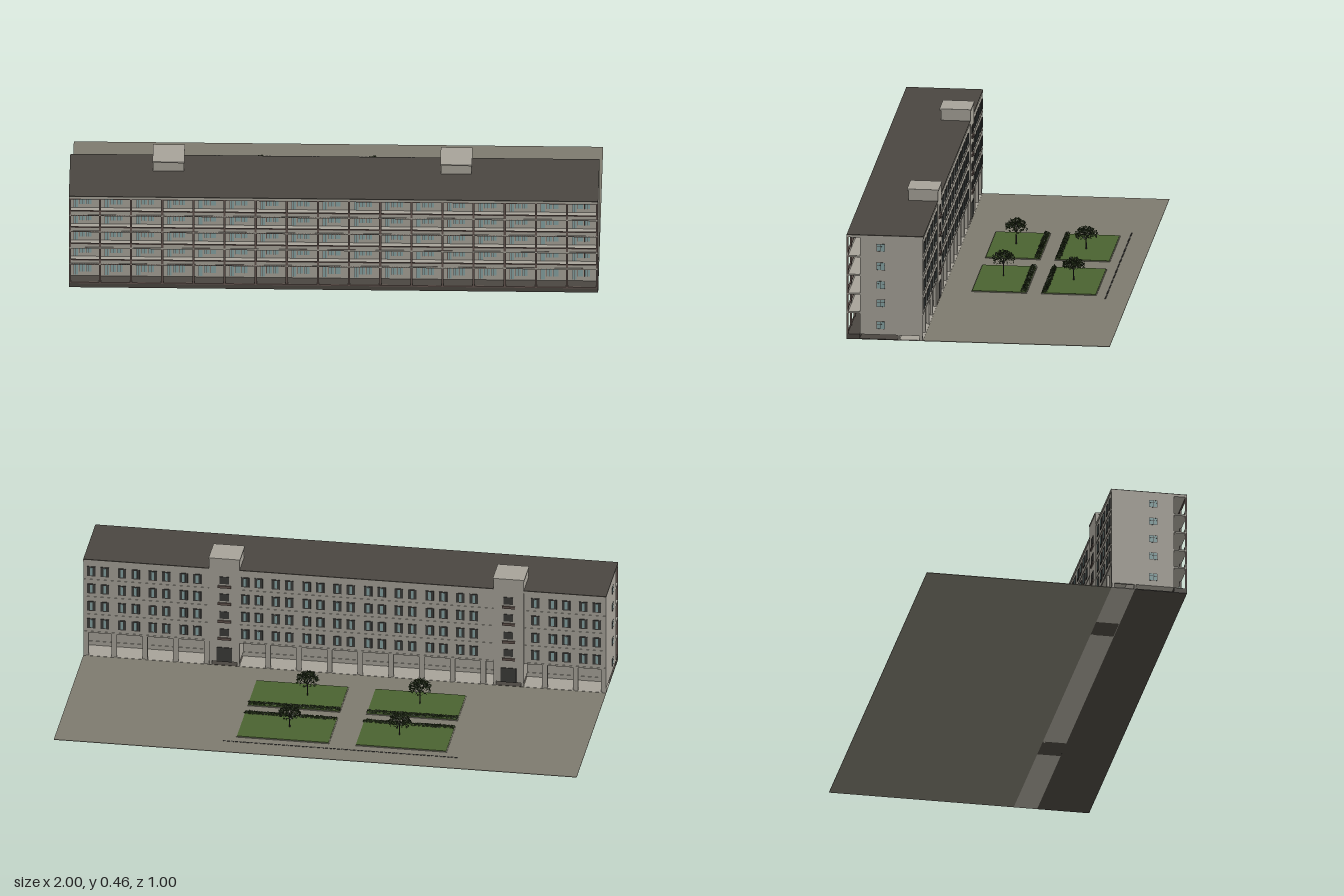
import * as THREE from 'three';
import { mergeGeometries } from 'three/addons/utils/BufferGeometryUtils.js';

const mat = (name, color, side = THREE.FrontSide) => {
  const m = new THREE.MeshStandardMaterial({ color, side });
  m.name = name;
  return m;
};

// Box given by its limits on each axis
function box(x0, x1, y0, y1, z0, z1) {
  return new THREE.BoxGeometry(x1 - x0, y1 - y0, z1 - z0)
    .translate((x0 + x1) / 2, (y0 + y1) / 2, (z0 + z1) / 2);
}

function seeded(seed) {
  return () => (seed = (seed * 16807) % 2147483647) / 2147483647;
}

// Cylinder running between two points
function rod(a, b, r0, r1) {
  const d = b.clone().sub(a);
  const g = new THREE.CylinderGeometry(r1, r0, d.length(), 6);
  g.applyQuaternion(new THREE.Quaternion().setFromUnitVectors(new THREE.Vector3(0, 1, 0), d.clone().normalize()));
  return g.translate((a.x + b.x) / 2, (a.y + b.y) / 2, (a.z + b.z) / 2);
}

// Small flat leaves spread by a placing function
function leaves(count, size, rand, place) {
  const list = [];
  for (let i = 0; i < count; i++) {
    const g = new THREE.CircleGeometry(size * (0.7 + 0.6 * rand()), 4);
    g.rotateX(rand() * 6.28).rotateY(rand() * 6.28);
    const p = place();
    list.push(g.translate(p.x, p.y, p.z));
  }
  return mergeGeometries(list);
}

export function createModel() {
  const root = new THREE.Group();
  const concrete = mat('concrete', 0xa6a298);
  const roofDark = mat('dark roofing', 0x4a4640);
  const paving = mat('ground', 0x7d7a6e);
  const grass = mat('grass', 0x4a6230);
  const foliage = mat('foliage', 0x2c3a1e, THREE.DoubleSide);
  const bark = mat('bark', 0x2e2a2c);
  const trim = mat('brown trim', 0x62544e);
  const glass = mat('teal glass', 0x86a3a3);
  const frame = mat('dark frame', 0x3c3b39);

  const add = (name, geos, material, parent = root) => {
    const mesh = new THREE.Mesh(Array.isArray(geos) ? mergeGeometries(geos) : geos, material);
    mesh.name = name;
    parent.add(mesh);
    return mesh;
  };

  const BAYS = 17, W = 2 / BAYS;
  const floors = [0.02, 0.105, 0.178, 0.252, 0.325, 0.4];
  const towers = [-0.627, 0.46];
  const TW = 0.058;
  const nearTower = (x, m) => towers.some(t => Math.abs(x - t) < TW + m);

  // Ground and foundations
  add('ground', box(-1, 1, 0, 0.002, -0.5, 0.21), paving);
  add('foundation', [
    box(-1, 1, 0, 0.003, 0.3, 0.45), box(-1, 1, 0, 0.02, 0.45, 0.5),
    ...towers.map(t => box(t - TW, t + TW, 0, 0.003, 0.21, 0.3)),
  ], roofDark);
  const edges = [-1, towers[0] - TW, towers[0] + TW, towers[1] - TW, towers[1] + TW, 1];
  add('arcadeFloor', [0, 2, 4].map(i => box(edges[i], edges[i + 1], 0, 0.003, 0.21, 0.3)), concrete);

  // Main block, with the recessed arcade along the back
  add('mainBlock', [
    box(-1, 1, 0.1, 0.4, 0.21, 0.45),
    box(-1, 1, 0.02, 0.1, 0.3, 0.45),
    box(-1, 1, 0, 0.02, 0.298, 0.304),
    ...[-1, 1].map(s => box(s - (s > 0 ? 0.008 : 0), s + (s > 0 ? 0 : 0.008), 0.02, 0.1, 0.21, 0.3)),
  ], concrete);
  const piers = [];
  for (let i = 0; i <= BAYS; i++) {
    const x = Math.min(0.99, Math.max(-0.99, -1 + i * W));
    if (!nearTower(x, 0)) piers.push(box(x - 0.01, x + 0.01, 0, 0.1, 0.212, 0.222));
  }
  add('arcadePiers', piers, concrete);

  // Roof
  add('roofSlab', box(-1, 1, 0.4, 0.408, 0.208, 0.5), concrete);
  add('roofCover', box(-1, 1, 0.408, 0.411, 0.208, 0.5), roofDark);

  // Stair towers
  const stairs = new THREE.Group();
  stairs.name = 'stairTowers';
  root.add(stairs);
  for (const t of towers) {
    add('towerShaft', [
      box(t - TW, t + TW, 0.02, 0.45, 0.207, 0.32),
      box(t - TW - 0.002, t + TW + 0.002, 0.45, 0.456, 0.205, 0.325),
      box(t - TW, t - TW + 0.01, 0, 0.02, 0.21, 0.22), box(t + TW - 0.01, t + TW, 0, 0.02, 0.21, 0.22),
    ], concrete, stairs);
    add('towerEntrance', box(t - 0.03, t + 0.03, 0.02, 0.08, 0.204, 0.208), frame, stairs);
    const panes = [], ledges = [];
    for (const y of [0.117, 0.19, 0.265, 0.337]) {
      ledges.push(box(t - 0.025, t + 0.025, y - 0.005, y + 0.005, 0.202, 0.208));
      panes.push(box(t - 0.018, t + 0.018, y + 0.012, y + 0.042, 0.205, 0.208));
    }
    add('towerLedges', ledges, trim, stairs);
    add('towerWindows', panes, frame, stairs);
  }

  // Front galleries: slabs, parapets, rails and posts
  const slabs = [], parapets = [], rails = [], posts = [];
  floors.forEach((y, k) => {
    if (k > 0 && k < 5) slabs.push(box(-1, 1, y - 0.003, y + 0.003, 0.448, 0.5));
    if (k < 5) {
      rails.push(box(-1, 1, y - 0.002, y + 0.003, 0.496, 0.5));
      if (k > 0) {
        parapets.push(box(-1, 1, y, y + 0.017, 0.494, 0.498));
        rails.push(box(-1, 1, y + 0.016, y + 0.019, 0.493, 0.499));
      }
    }
  });
  rails.push(box(-1, 1, 0.397, 0.4, 0.494, 0.5));
  for (let i = 0; i <= BAYS; i++) {
    const x = Math.min(0.996, Math.max(-0.996, -1 + i * W));
    posts.push(box(x - 0.004, x + 0.004, 0.02, 0.4, 0.493, 0.4995));
  }
  add('gallerySlabs', slabs, concrete);
  add('galleryParapets', parapets, concrete);
  add('galleryRails', rails, trim);
  add('galleryPosts', posts, trim);

  // Windows and doors, one set in every bay and storey
  const frontGlass = [], frontFrames = [], backGlass = [], backFrames = [];
  for (let k = 0; k < 5; k++) {
    const y = floors[k];
    for (let i = 0; i < BAYS; i++) {
      const x = -1 + i * W;
      const sets = [[0.018, 0.034, 0.006], [0.04, 0.06, 0.02], [0.065, 0.085, 0.02]];
      for (const [a, b, low] of sets) {
        frontGlass.push(box(x + a, x + b, y + low, y + 0.052, 0.449, 0.452));
        frontFrames.push(box(x + a - 0.001, x + a + 0.001, y + low, y + 0.052, 0.451, 0.453));
        frontFrames.push(box(x + (a + b) / 2 - 0.0008, x + (a + b) / 2 + 0.0008, y + low, y + 0.052, 0.451, 0.453));
      }
      if (k === 0) continue;
      for (const c of [0.3, 0.74]) {
        const cx = x + c * W;
        if (nearTower(cx, 0.016)) continue;
        backFrames.push(box(cx - 0.016, cx + 0.016, y + 0.016, y + 0.056, 0.207, 0.211));
        backGlass.push(box(cx - 0.005, cx + 0.005, y + 0.02, y + 0.052, 0.2062, 0.208));
      }
    }
  }
  add('frontWindows', frontGlass, glass);
  add('frontWindowFrames', frontFrames, trim);
  add('backShutters', backFrames, frame);
  add('backWindows', backGlass, glass);
  add('backFloorBands', floors.slice(1, 5).map(y => box(-1, 1, y - 0.002, y + 0.002, 0.2085, 0.211)), concrete);

  // End wall windows on both sides
  const endGlass = [], endFrames = [];
  for (const s of [-1, 1]) {
    const plate = (d, y0, y1, z0, z1) => box(s * d - 0.001, s * d + 0.001, y0, y1, z0, z1);
    for (const y of [0.043, 0.13, 0.202, 0.275, 0.348]) {
      endGlass.push(plate(0.9995, y, y + 0.028, 0.355, 0.385));
      for (const z of [0.355, 0.37, 0.385]) endFrames.push(plate(1, y, y + 0.028, z - 0.0008, z + 0.0008));
      for (const h of [0, 0.018, 0.028]) endFrames.push(plate(1, y + h - 0.0007, y + h + 0.0007, 0.355, 0.385));
    }
  }
  add('endWindows', endGlass, glass);
  add('endWindowFrames', endFrames, frame);

  // Courtyard lawns with hedges along the middle path
  const rand = seeded(4711);
  const lawns = [], kerbs = [], hedges = [];
  for (const [x0, x1] of [[-0.48, -0.135], [-0.03, 0.32]]) {
    for (const [z0, z1, hz] of [[-0.37, -0.165, -0.174], [-0.105, 0.1, -0.094]]) {
      lawns.push(box(x0, x1, 0.002, 0.006, z0, z1));
      kerbs.push(box(x0 - 0.003, x1 + 0.003, 0.001, 0.004, z0 - 0.003, z1 + 0.003));
      hedges.push(leaves(420, 0.005, rand, () => {
        const a = rand() * Math.PI;
        return new THREE.Vector3(x0 + rand() * (x1 - x0), 0.005 + 0.008 * Math.sin(a), hz + 0.007 * Math.cos(a));
      }));
    }
  }
  add('lawns', lawns, grass);
  add('lawnKerbs', kerbs, paving);
  add('hedges', hedges, foliage);

  // Dashed marker line behind the lawns
  const marks = [];
  for (let x = -0.53; x < 0.36; x += 0.015) marks.push(box(x, x + 0.011, 0.001, 0.0035, -0.413, -0.408));
  add('markerLine', marks, frame);

  // Trees with forked branches and loose leafy crowns
  for (const [x, z, h] of [[-0.285, -0.265, 0.1], [0.135, -0.265, 0.1], [-0.32, 0.005, 0.115], [0.11, 0.005, 0.115]]) {
    const tree = new THREE.Group();
    tree.name = 'tree';
    tree.position.set(x, 0.004, z);
    root.add(tree);
    const fork = new THREE.Vector3(0, h * 0.4, 0);
    const wood = [rod(new THREE.Vector3(), fork, 0.0025, 0.0018)];
    for (let i = 0; i < 8; i++) {
      const a = i * 0.785, r = i % 2 ? 0.03 : 0.017;
      wood.push(rod(fork, new THREE.Vector3(r * Math.cos(a), h * 0.78, r * Math.sin(a)), 0.0013, 0.0006));
    }
    add('trunk', wood, bark, tree);
    add('crown', leaves(330, 0.0045, rand, () => {
      const a = rand() * 6.283, r = Math.sqrt(rand());
      const top = h * (0.91 - 0.22 * r * r), depth = h * 0.22 * rand();
      return new THREE.Vector3(0.042 * r * Math.cos(a), top - depth, 0.042 * r * Math.sin(a));
    }), foliage, tree);
  }
  return root;
}
